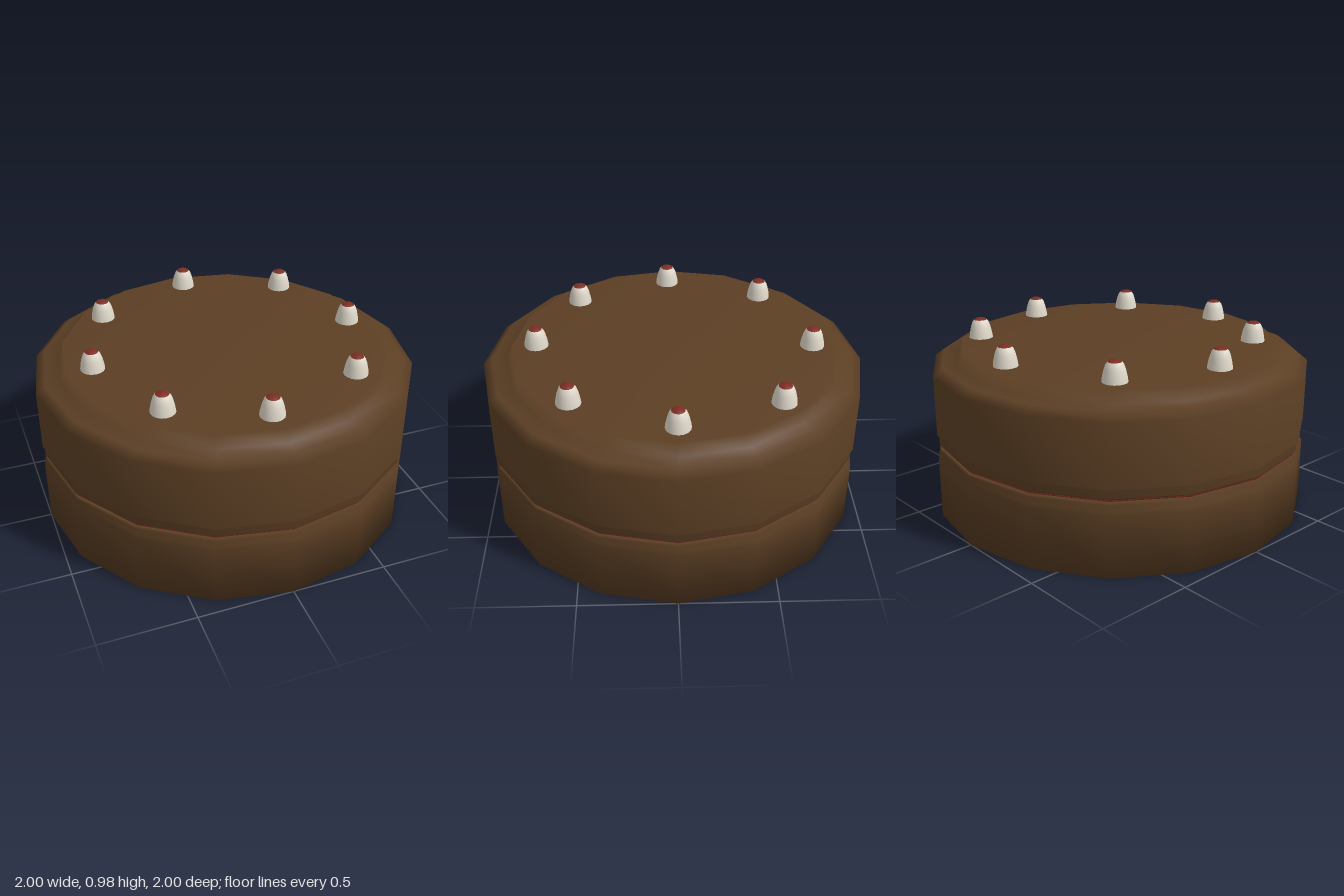
import * as THREE from 'three';

const brown = new THREE.MeshStandardMaterial({ name: 'chocolate', color: 0x5c3f24 });
const cream = new THREE.MeshStandardMaterial({ name: 'cream', color: 0xe0d9cb });
const red = new THREE.MeshStandardMaterial({ name: 'cherryRed', color: 0x7c2c22 });

// Turned part from [radius, height] pairs, listed from bottom to top
function turned(name, profile, sides, material) {
  const points = profile.map(([r, y]) => new THREE.Vector2(r, y));
  const mesh = new THREE.Mesh(new THREE.LatheGeometry(points, sides), material);
  mesh.name = name;
  return mesh;
}

export function createModel() {
  const cake = new THREE.Group();
  cake.name = 'cake';

  // Sponge layers with a thin filling between them
  cake.add(turned('lowerLayer', [
    [0, 0], [1, 0], [1, 0.32], [0.99, 0.335], [0.99, 0.37], [0.98, 0.382], [0, 0.382],
  ], 16, brown));
  cake.add(turned('filling', [
    [0.9, 0.38], [0.975, 0.38], [0.975, 0.394], [0.9, 0.394],
  ], 16, red));
  cake.add(turned('upperLayer', [
    [0, 0.392], [0.98, 0.392], [0.99, 0.402], [0.99, 0.44], [1, 0.455], [1, 0.775],
    [0.95, 0.812], [0.87, 0.812], [0.845, 0.875], [0, 0.875],
  ], 16, brown));

  // Ring of cream dollops with red tips, placed a little unevenly
  const spots = [
    [0.02, -0.73], [0.54, -0.52], [0.725, -0.005], [0.515, 0.515],
    [-0.02, 0.715], [-0.49, 0.51], [-0.705, 0.015], [-0.52, -0.5],
  ];
  for (const [x, z] of spots) {
    const dollop = new THREE.Group();
    dollop.name = 'dollop';
    dollop.position.set(x, 0.87, z);
    dollop.add(turned('creamBody', [
      [0.064, 0], [0.06, 0.03], [0.052, 0.065], [0.044, 0.088], [0.034, 0.102],
    ], 16, cream));
    dollop.add(turned('redTip', [[0.034, 0.102], [0.02, 0.11], [0, 0.113]], 16, red));
    cake.add(dollop);
  }
  return cake;
}
